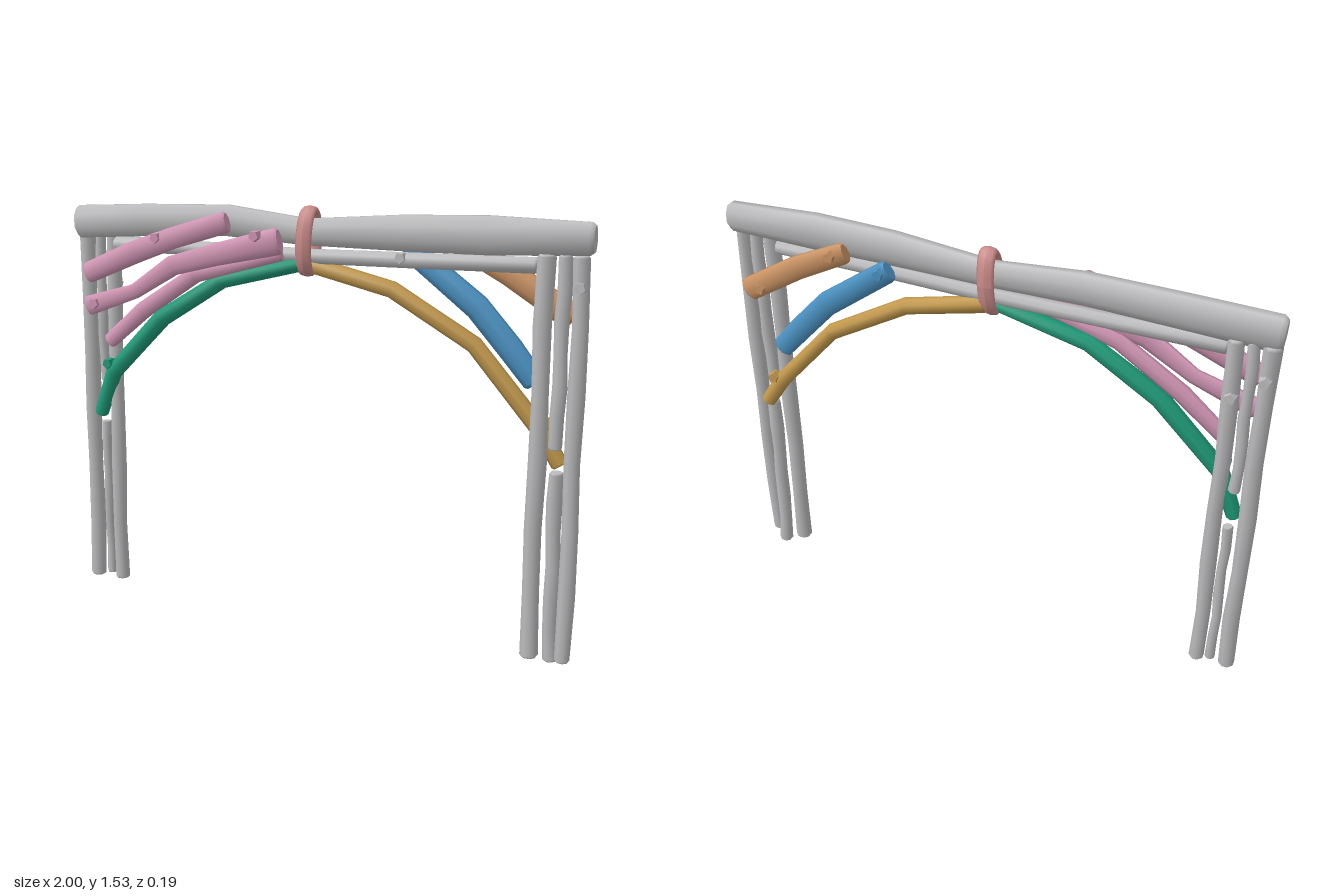
import * as THREE from 'three';

const mat = (name, color) => {
  const m = new THREE.MeshStandardMaterial({ color });
  m.name = name;
  return m;
};

// Branch swept along points [x, y, z, radius]; depth scales its thickness in z.
function branchGeometry(points, sides = 8, depth = 1) {
  const pts = points.map(p => new THREE.Vector3(p[0], p[1], p[2]));
  const last = pts.length - 1;
  const rings = [];
  const addRing = (center, tangent, r) => {
    const n = new THREE.Vector3(-tangent.y, tangent.x, 0).normalize();
    const b = new THREE.Vector3().crossVectors(tangent, n).normalize();
    rings.push(Array.from({ length: sides }, (_, i) => {
      const a = (i + 0.5) / sides * Math.PI * 2;
      return center.clone()
        .addScaledVector(n, Math.cos(a) * r)
        .addScaledVector(b, Math.sin(a) * r * depth);
    }));
  };
  pts.forEach((p, i) => {
    const t = pts[Math.min(i + 1, last)].clone().sub(pts[Math.max(i - 1, 0)]).normalize();
    const r = points[i][3];
    // small bevel at both cut ends
    if (i === 0) addRing(p, t, r * 0.8);
    const shift = i === 0 ? r * 0.25 : i === last ? -r * 0.25 : 0;
    addRing(p.clone().addScaledVector(t, shift), t, r);
    if (i === last) addRing(p, t, r * 0.8);
  });
  const pos = [], idx = [];
  rings.forEach(ring => ring.forEach(v => pos.push(v.x, v.y, v.z)));
  for (let j = 0; j < rings.length - 1; j++) {
    for (let i = 0; i < sides; i++) {
      const k = (i + 1) % sides;
      const a = j * sides + i, b = j * sides + k, c = a + sides, d = b + sides;
      idx.push(a, b, c, b, d, c);
    }
  }
  // flat caps with their own vertices
  [0, rings.length - 1].forEach((j, end) => {
    const base = pos.length / 3;
    rings[j].forEach(v => pos.push(v.x, v.y, v.z));
    for (let i = 1; i < sides - 1; i++) {
      if (end) idx.push(base, base + i, base + i + 1);
      else idx.push(base, base + i + 1, base + i);
    }
  });
  const g = new THREE.BufferGeometry();
  g.setAttribute('position', new THREE.Float32BufferAttribute(pos, 3));
  g.setIndex(idx);
  g.computeVertexNormals();
  return g;
}

export function createModel() {
  const group = new THREE.Group();
  const grey = mat('grey wood', 0xbcbcbe);
  const pink = mat('pink wood', 0xcf94b3);
  const green = mat('green wood', 0x1f9a78);
  const gold = mat('golden wood', 0xc2984c);
  const blue = mat('blue wood', 0x4a91c1);
  const orange = mat('orange wood', 0xc99263);
  const rope = mat('binding', 0xc98b88);

  const add = (name, geometry, material) => {
    const mesh = new THREE.Mesh(geometry, material);
    mesh.name = name;
    group.add(mesh);
    return mesh;
  };
  const branch = (name, material, points, depth = 1, sides = 8) =>
    add(name, branchGeometry(points, sides, depth), material);

  // Cut twig stub facing front (dir 1) or back (dir -1)
  const knot = (material, x, y, z, dir, r = 0.023) => {
    const g = new THREE.CylinderGeometry(r * 0.85, r, 0.035, 5).toNonIndexed();
    g.computeVertexNormals();
    const m = add('knot', g, material);
    m.rotation.x = dir * Math.PI / 2;
    m.position.set(x, y, z);
  };

  // Gently crooked upright pole
  const post = (name, x0, x1, y0, y1, z0, z1, r, phase) => {
    const n = 6;
    const points = Array.from({ length: n + 1 }, (_, i) => {
      const t = i / n;
      return [
        x0 + (x1 - x0) * t + Math.sin(i * 1.9 + phase) * 0.004,
        y0 + (y1 - y0) * t,
        z0 + (z1 - z0) * t + Math.cos(i * 1.4 + phase) * 0.004,
        r * (1 + 0.06 * Math.sin(i * 2.3 + phase)),
      ];
    });
    branch(name, grey, points);
  };

  // Top beam and the thinner pole below it
  branch('topBeam', grey, [
    [-1, 1.437, 0.003, 0.066], [-0.7, 1.452, -0.01, 0.064], [-0.35, 1.463, -0.018, 0.06],
    [-0.02, 1.436, -0.003, 0.05], [0.35, 1.448, 0.006, 0.065], [0.65, 1.452, 0.002, 0.069],
    [1, 1.453, -0.014, 0.057],
  ], 0.64);
  branch('lowerBeam', grey, [
    [-0.83, 1.36, 0, 0.03], [-0.4, 1.357, -0.005, 0.027], [0, 1.352, 0, 0.027],
    [0.4, 1.357, 0.004, 0.028], [0.82, 1.362, 0, 0.028],
  ]);

  // Bundled posts, the middle ones split around the arch feet
  post('leftOuterPost', -0.967, -0.967, 0.015, 1.4, 0.005, -0.01, 0.03, 0);
  post('leftMiddlePostLower', -0.908, -0.906, 0.03, 0.66, 0, 0.0, 0.018, 1);
  post('leftMiddlePostUpper', -0.915, -0.912, 0.82, 1.4, -0.015, -0.01, 0.02, 2);
  post('leftInnerPost', -0.855, -0.86, 0.015, 1.4, 0.005, -0.022, 0.028, 3);
  post('rightInnerPost', 0.842, 0.85, 0.015, 1.4, 0.01, 0.012, 0.03, 1.5);
  post('rightMiddlePostLower', 0.91, 0.908, 0, 0.68, -0.022, -0.004, 0.026, 2.5);
  post('rightMiddlePostUpper', 0.908, 0.91, 0.76, 1.4, 0.01, 0.0, 0.024, 4);
  post('rightOuterPost', 0.967, 0.967, 0.02, 1.4, 0.012, 0.006, 0.028, 5);

  // Arch, one curved limb each side
  branch('leftArch', green, [
    [-0.92, 0.69, 0.015, 0.027], [-0.85, 0.865, 0.018, 0.032], [-0.62, 1.092, 0.018, 0.034],
    [-0.36, 1.247, 0.014, 0.031], [-0.02, 1.325, 0.005, 0.026],
  ]);
  branch('rightArch', gold, [
    [0.0, 1.32, -0.01, 0.03], [0.3, 1.25, -0.022, 0.03], [0.6, 1.08, -0.032, 0.03],
    [0.84, 0.81, -0.034, 0.031], [0.915, 0.695, -0.032, 0.029],
  ]);

  // Braces on the front left
  branch('upperLeftBrace', pink, [
    [-0.94, 1.245, 0.043, 0.042], [-0.72, 1.335, 0.044, 0.045], [-0.55, 1.395, 0.042, 0.042],
    [-0.32, 1.462, 0.036, 0.042],
  ], 0.6);
  branch('middleLeftBrace', pink, [
    [-0.94, 1.12, 0.046, 0.04], [-0.72, 1.19, 0.046, 0.03], [-0.55, 1.295, 0.046, 0.04],
    [-0.36, 1.345, 0.05, 0.044], [-0.1, 1.405, 0.05, 0.052],
  ], 0.5);
  branch('lowerLeftBrace', pink, [
    [-0.855, 0.985, 0.034, 0.03], [-0.69, 1.12, 0.034, 0.034], [-0.46, 1.265, 0.034, 0.032],
    [-0.28, 1.31, 0.034, 0.026], [-0.1, 1.355, 0.034, 0.024],
  ], 0.7);

  // Braces on the back right
  branch('lowerRightBrace', blue, [
    [0.34, 1.395, -0.058, 0.042], [0.6, 1.205, -0.052, 0.046], [0.72, 1.075, -0.05, 0.046],
    [0.815, 0.965, -0.045, 0.042],
  ], 0.65);
  branch('upperRightBrace', orange, [
    [0.51, 1.425, -0.053, 0.04], [0.71, 1.325, -0.052, 0.045], [0.93, 1.19, -0.054, 0.046],
  ], 0.6);

  // Twig stubs
  knot(pink, -0.61, 1.395, 0.058, 1);
  knot(pink, -0.185, 1.42, 0.073, 1);
  knot(pink, -0.895, 1.135, 0.058, 1);
  knot(green, -0.86, 0.9, 0.035, 1);
  knot(grey, 0.35, 1.365, 0.02, 1);
  knot(blue, 0.37, 1.385, -0.078, -1);
  knot(orange, 0.56, 1.41, -0.073, -1);
  knot(orange, 0.86, 1.22, -0.075, -1);
  knot(gold, 0.86, 0.83, -0.052, -1);
  knot(grey, -0.965, 1.28, -0.038, -1);
  knot(grey, -0.865, 1.2, -0.042, -1);
  knot(grey, 0.97, 1.3, 0.025, 1);

  // Binding loop at the crown of the arch
  const band = new THREE.TorusGeometry(1, 0.25, 8, 24);
  const p = band.attributes.position;
  for (let i = 0; i < p.count; i++) {
    const a = Math.atan2(p.getY(i), p.getX(i));
    const out = Math.hypot(p.getX(i), p.getY(i)) - 1;
    const y = Math.sin(a) * (0.11 + out * 0.06);
    p.setXYZ(i, p.getZ(i) * 0.125 + y * 0.05, y, -Math.cos(a) * (0.042 + out * 0.052));
  }
  band.computeVertexNormals();
  add('binding', band, rope).position.set(-0.01, 1.404, 0.002);

  return group;
}
